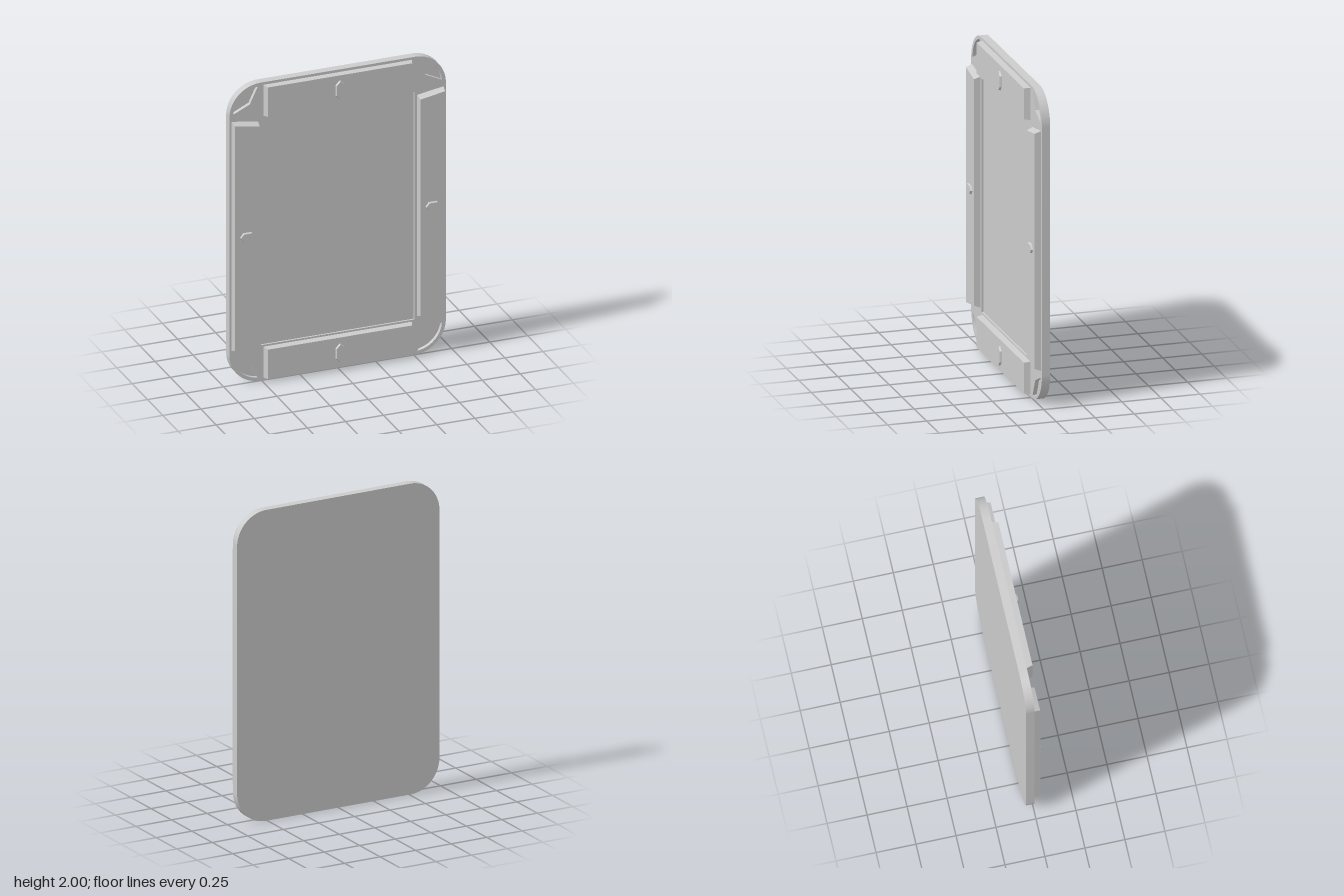
import * as THREE from 'three';
import { toCreasedNormals } from 'three/addons/utils/BufferGeometryUtils.js';

const material = new THREE.MeshStandardMaterial({ color: 0xcccccc });
const HALF_W = 0.712, HALF_H = 1, RADIUS = 0.205;
const BACK = -0.053, POCKET = -0.025, RECESS = -0.012, PANEL = 0.04, GEM = 0.052;

function addMesh(parent, name, geometry) {
  const mesh = new THREE.Mesh(geometry, material);
  mesh.name = name;
  parent.add(mesh);
  return mesh;
}

// Plate outline with rounded corners
function plateShape() {
  const s = new THREE.Shape(), x = HALF_W - RADIUS, y = HALF_H - RADIUS;
  s.absarc(x, y, RADIUS, 0, Math.PI / 2);
  s.absarc(-x, y, RADIUS, Math.PI / 2, Math.PI);
  s.absarc(-x, -y, RADIUS, Math.PI, Math.PI * 1.5);
  s.absarc(x, -y, RADIUS, Math.PI * 1.5, Math.PI * 2);
  s.closePath();
  return s;
}

// Corner pocket: an arc following the rim, closed by a blunt inner corner
function pocketPath(sx, sy) {
  const pts = [];
  for (let i = 0; i <= 12; i++) {
    const a = THREE.MathUtils.degToRad(5 + (80 * i) / 12);
    pts.push([0.51 + 0.177 * Math.cos(a), 0.8 + 0.177 * Math.sin(a)]);
  }
  pts.push([0.577, 0.867]);
  return new THREE.Path(pts.map(([x, y]) => new THREE.Vector2(sx * x, sy * y)));
}

function slab(shape, z0, z1) {
  const g = new THREE.ExtrudeGeometry(shape, { depth: z1 - z0, bevelEnabled: false, curveSegments: 16 });
  g.translate(0, 0, z0);
  return toCreasedNormals(g, 0.5);
}

// Faceted solid between two counter-clockwise convex outlines
function loft(base, top, z0, z1) {
  const v = [], n = base.length;
  const b = (i) => [...base[i % n], z0], t = (i) => [...top[i % n], z1];
  for (let i = 0; i < n; i++) {
    v.push(...b(i), ...b(i + 1), ...t(i + 1), ...b(i), ...t(i + 1), ...t(i));
    if (i > 0 && i < n - 1) {
      v.push(...t(0), ...t(i), ...t(i + 1), ...b(0), ...b(i + 1), ...b(i));
    }
  }
  const g = new THREE.BufferGeometry();
  g.setAttribute('position', new THREE.Float32BufferAttribute(v, 3));
  g.computeVertexNormals();
  return g;
}

// Elongated hexagonal stud, tall by default
function gem() {
  const hex = (w, h, s) => [[0, -h], [w, -s], [w, s], [0, h], [-w, s], [-w, -s]];
  return loft(hex(0.03, 0.064, 0.036), hex(0.025, 0.06, 0.034), PANEL, GEM);
}

export function createModel() {
  const model = new THREE.Group();
  model.name = 'framedTray';
  const body = new THREE.Group();
  body.name = 'body';
  body.position.y = 1;
  model.add(body);

  // Back plate and front rim with its openings
  addMesh(body, 'backPlate', slab(plateShape(), BACK, POCKET));
  const rim = plateShape();
  const cx = 0.505, cy = 0.763;
  rim.holes.push(new THREE.Path([[-cx, -cy], [cx, -cy], [cx, cy], [-cx, cy]]
    .map(([x, y]) => new THREE.Vector2(x, y))));
  for (const sx of [-1, 1]) for (const sy of [-1, 1]) rim.holes.push(pocketPath(sx, sy));
  addMesh(body, 'frontRim', slab(rim, POCKET, 0));

  // Shallow floor of the central recess
  addMesh(body, 'centreFloor', new THREE.BoxGeometry(cx * 2, cy * 2, RECESS - POCKET))
    .position.z = (RECESS + POCKET) / 2;

  // Raised panels: each pair is one panel turned half a turn about the centre
  const endPanel = loft(
    [[-0.487, 0.775], [0.487, 0.775], [0.487, 0.983], [-0.487, 0.983]],
    [[-0.475, 0.781], [0.475, 0.781], [0.475, 0.979], [-0.475, 0.979]], 0, PANEL);
  const sidePanel = loft(
    [[0.523, -0.742], [0.697, -0.77], [0.697, 0.77], [0.523, 0.742]],
    [[0.528, -0.726], [0.691, -0.754], [0.691, 0.754], [0.528, 0.726]], 0, PANEL);

  const pairs = [
    { names: ['top', 'bottom'], panel: endPanel, at: [0, 0.883], turn: 0 },
    { names: ['left', 'right'], panel: sidePanel, at: [0.61, 0], turn: Math.PI / 2 },
  ];
  for (const { names, panel, at, turn } of pairs) {
    names.forEach((name, i) => {
      const side = new THREE.Group();
      side.name = name + 'Side';
      side.rotation.z = i * Math.PI;
      body.add(side);
      addMesh(side, name + 'Panel', panel);
      const stud = addMesh(side, name + 'Stud', gem());
      stud.position.set(at[0], at[1], 0);
      stud.rotation.z = turn;
      if (turn) stud.scale.set(0.95, 0.76, 1);
    });
  }
  return model;
}
